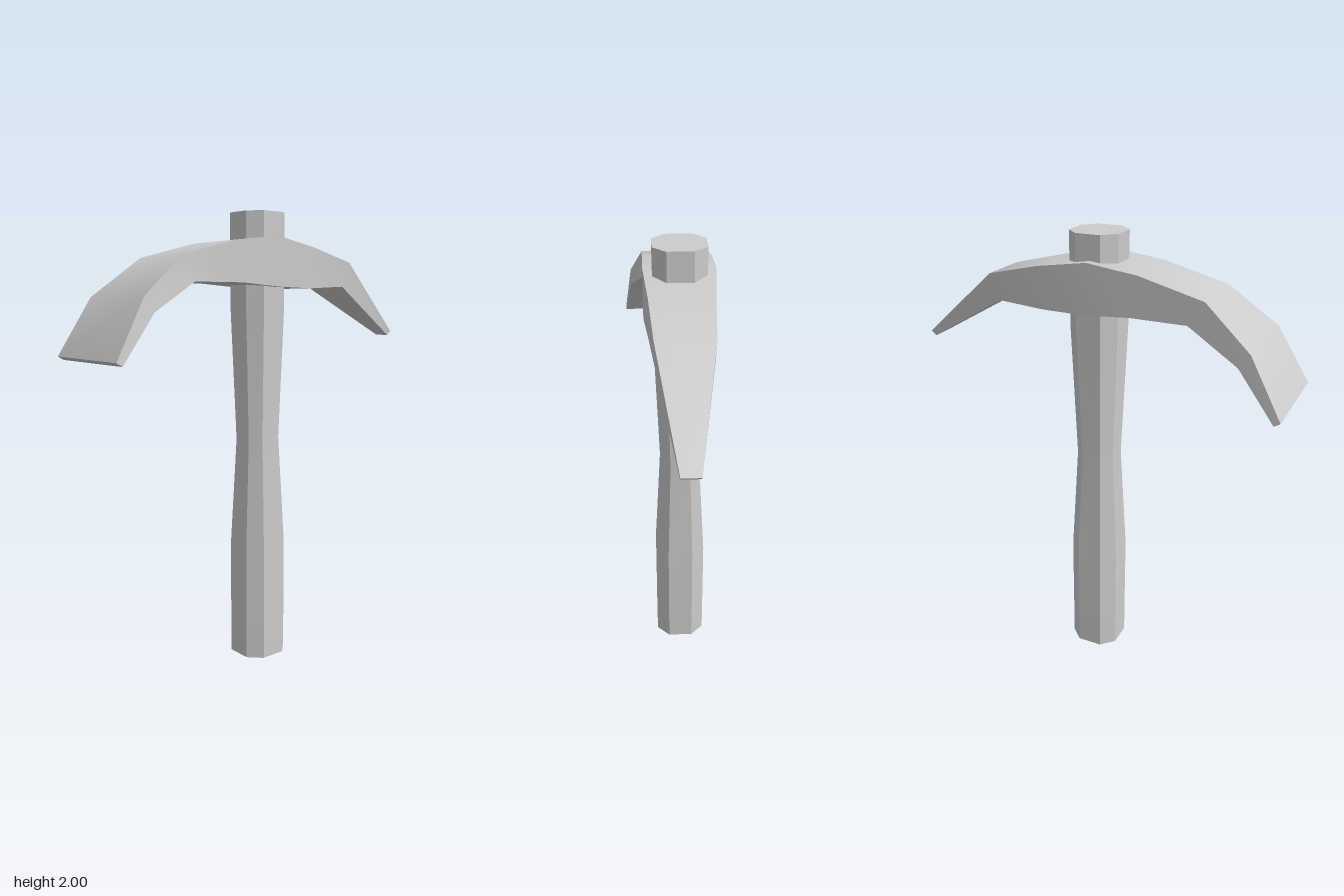
import * as THREE from 'three';
import { toCreasedNormals } from 'three/addons/utils/BufferGeometryUtils.js';

// Skin a row of rings (each counter-clockwise about the loft direction) and cap both ends.
function loft(rings) {
  const n = rings[0].length;
  const index = [];
  const last = (rings.length - 1) * n;
  for (let i = 0; i < rings.length - 1; i++) {
    for (let j = 0; j < n; j++) {
      const a = i * n + j, b = i * n + (j + 1) % n;
      index.push(a, b, b + n, a, b + n, a + n);
    }
  }
  for (let j = 1; j < n - 1; j++) {
    index.push(0, j + 1, j, last, last + j, last + j + 1);
  }
  const geometry = new THREE.BufferGeometry();
  geometry.setAttribute('position', new THREE.Float32BufferAttribute(rings.flat(2), 3));
  geometry.setIndex(index);
  return toCreasedNormals(geometry, Math.PI / 6);
}

export function createModel() {
  const model = new THREE.Group();
  model.name = 'mattock';
  const material = new THREE.MeshStandardMaterial({ color: 0xcccccc });

  const add = (name, rings) => {
    const mesh = new THREE.Mesh(loft(rings), material);
    mesh.name = name;
    model.add(mesh);
  };

  // Handle: chamfered square with a slim waist, [height, half width]
  const corners = [[0.5, 1], [1, 0.5], [1, -0.5], [0.5, -1], [-0.5, -1], [-1, -0.5], [-1, 0.5], [-0.5, 1]];
  const handle = [[0, 0.113], [0.52, 0.113], [1.01, 0.087], [1.6, 0.109], [2, 0.109]];
  add('handle', handle.map(([y, r]) => corners.map(([x, z]) => [x * r, y, z * r])));

  // Head: narrow pick at the back to broad blade at the front,
  // [top z, top y, bottom z, bottom y, half width]
  const head = [
    [-0.848, 1.475, -0.825, 1.455, 0.037],
    [-0.46, 1.80, -0.415, 1.69, 0.113],
    [-0.22, 1.858, -0.20, 1.68, 0.128],
    [0.01, 1.897, 0.00, 1.685, 0.147],
    [0.23, 1.87, 0.20, 1.70, 0.147],
    [0.505, 1.80, 0.44, 1.70, 0.147],
    [0.71, 1.64, 0.665, 1.583, 0.203],
    [0.85, 1.405, 0.825, 1.39, 0.233],
  ];
  add('head', head.map(([tz, ty, bz, by, w]) => [[w, by, bz], [w, ty, tz], [-w, ty, tz], [-w, by, bz]]));

  return model;
}
